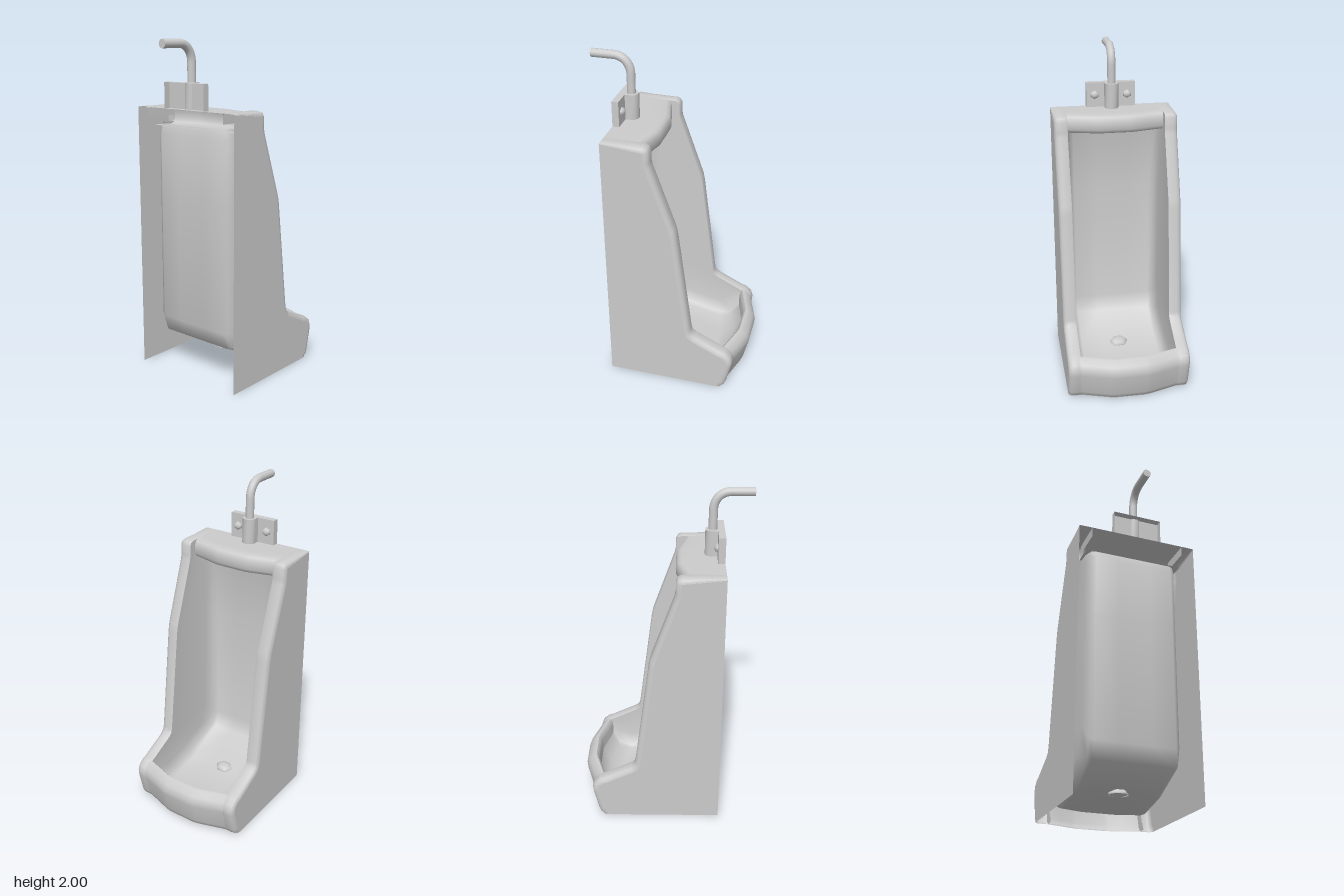
import * as THREE from 'three';
import { toCreasedNormals } from 'three/addons/utils/BufferGeometryUtils.js';

const material = new THREE.MeshStandardMaterial({ color: 0xcccccc, side: THREE.DoubleSide });

function add(parent, name, geometry, x = 0, y = 0, z = 0) {
  const mesh = new THREE.Mesh(geometry, material);
  mesh.name = name;
  mesh.position.set(x, y, z);
  parent.add(mesh);
  return mesh;
}

// Skin a grid of cross-sections, each a list of [x, y, z]
function loft(rows, crease = 0.9) {
  const n = rows[0].length, index = [];
  for (let i = 0; i < rows.length - 1; i++)
    for (let j = 0; j < n - 1; j++) {
      const a = i * n + j, b = a + n;
      index.push(a, b, a + 1, a + 1, b, b + 1);
    }
  const g = new THREE.BufferGeometry();
  g.setAttribute('position', new THREE.Float32BufferAttribute(rows.flat(2), 3));
  g.setIndex(index);
  g.computeVertexNormals();
  return toCreasedNormals(g, crease);
}

// Front outline of each side, from the top back corner down to the foot
const outline = [
  [-0.34, 1.61], [-0.1, 1.61], [-0.078, 1.602], [-0.067, 1.58], [-0.066, 1.52], [-0.06, 1.49],
  [0.075, 1.11], [0.085, 1.06], [0.17, 0.4], [0.178, 0.372], [0.2, 0.355], [0.36, 0.277],
  [0.39, 0.268], [0.425, 0.238], [0.438, 0.2], [0.435, 0.17], [0.405, 0.04], [0.395, 0.015],
  [0.38, 0.003], [0.38, 0],
];

// Outline moved inwards by d
function inset(i, d) {
  const a = outline[Math.max(i - 1, 0)], b = outline[Math.min(i + 1, outline.length - 1)];
  const tx = b[0] - a[0], ty = b[1] - a[1], l = Math.hypot(tx, ty);
  const [x, y] = outline[i];
  return [Math.max(x + (ty / l) * d, -0.34), Math.max(y - (tx / l) * d, 0)];
}

// Side rim section, [inset, z]; its outer rounding sharpens towards the top back corner
const rimSection = [[0.03, 0.37], [0.015, 0.367], [0.004, 0.357], [0, 0.34], [0, 0.3], [0.004, 0.291], [0.06, 0.29]];
const rimPoint = (i, [d, z]) => [...inset(i, i === 0 && z > 0.3 ? d * 0.1 : d), z];

// Share of the forward bow of hood and lip: 1 in the middle, 0 at the sides
const bow = (z) => THREE.MathUtils.clamp((0.292 - Math.abs(z)) / 0.19, 0, 1);
const across = [-0.302, -0.29, -0.2, -0.12, -0.09, 0, 0.09, 0.12, 0.2, 0.29, 0.302];

// Basin stations: rim, wall and floor points as [x, y]
const basinStations = [
  [[-0.1, 1.51], [-0.2, 1.51], [-0.26, 1.51]],
  [[-0.08, 1.44], [-0.2, 1.44], [-0.28, 1.45]],
  [[0.05, 1.09], [-0.2, 1.09], [-0.28, 1.09]],
  [[0.14, 0.4], [-0.19, 0.42], [-0.28, 0.32]],
  [[0.17, 0.34], [-0.14, 0.27], [-0.25, 0.22]],
  [[0.25, 0.3], [0.05, 0.2], [0, 0.11]],
  [[0.31, 0.265], [0.22, 0.16], [0.22, 0.065]],
  [[0.345, 0.25], [0.31, 0.18], [0.3, 0.085]],
  [[0.365, 0.25], [0.358, 0.2], [0.35, 0.17]],
];

export function createModel() {
  const model = new THREE.Group();
  model.name = 'urinal';

  // Side panels with rounded rims
  for (const s of [1, -1]) {
    const side = new THREE.Group();
    side.name = s > 0 ? 'leftSide' : 'rightSide';
    const rim = outline.map((p, i) => rimSection.map((r) => rimPoint(i, r)));
    const panel = new THREE.Shape([...rim.map(([[x, y]]) => new THREE.Vector2(x, y)), new THREE.Vector2(-0.34, 0)]);
    add(side, 'sidePanel', new THREE.ShapeGeometry(panel), 0, 0, s * 0.37);
    add(side, 'sideRim', loft(rim.map((row) => row.map(([x, y, z]) => [x, y, s * z]))));
    model.add(side);
  }

  // Bowed hood
  const hood = [[-0.14, 1.608], [-0.1, 1.606], [-0.08, 1.598], [-0.068, 1.575], [-0.068, 1.525],
    [-0.078, 1.505], [-0.1, 1.498], [-0.2, 1.5]];
  add(model, 'hood', loft(across.map((z) => [[-0.34, 1.61, z], [-0.25, 1.609, z],
    ...hood.map(([x, y]) => [x - 0.05 * (1 - bow(z)), y, z]), [-0.275, 1.5, z]])));

  // Bowed front lip, its inner face running down into the basin
  const lip = [[0.35, 0.16], [0.357, 0.225], [0.362, 0.255], [0.375, 0.27], ...outline.slice(12)];
  add(model, 'frontLip', loft(across.map((z) => lip.map(([x, y]) => [x + 0.06 * bow(z), y, z]))));

  // Basin: back wall, chamfered sides and a floor that follows the bow of the lip
  add(model, 'basin', loft(basinStations.map(([r, w, f], i) => {
    const floor = (z) => [f[0] + (i > 5 ? 0.06 * bow(z) : 0), f[1], z];
    const half = [[...r, 0.29], [...w, 0.285], [f[0] + 0.015, f[1] + 0.01, 0.265], floor(0.24), floor(0.1)];
    return [...half, ...half.map(([x, y, z]) => [x, y, -z]).reverse()];
  }), 1.1));

  // Drain dome
  const dome = new THREE.SphereGeometry(1, 6, 5, 0, Math.PI * 2, 0, Math.PI / 2);
  const drain = add(model, 'drain', dome, -0.015, 0.105, 0);
  drain.scale.set(0.062, 0.035, 0.053);
  drain.rotation.y = Math.PI / 2;

  // Pipe bracket with an open back, sleeve and bolts
  const bracket = new THREE.BoxGeometry(0.04, 0.15, 0.3);
  bracket.setIndex([...bracket.index.array].filter((v, i) => i < 6 || i >= 12));
  add(model, 'bracketPlate', bracket, -0.32, 1.685, 0);
  add(model, 'pipeSleeve', toCreasedNormals(new THREE.CylinderGeometry(0.042, 0.042, 0.15, 10), 0.9), -0.27, 1.685, 0);
  add(model, 'sleeveBase', new THREE.BoxGeometry(0.03, 0.15, 0.08), -0.285, 1.685, 0);
  for (const z of [0.1, -0.1]) {
    const bolt = add(model, 'bolt', dome, -0.3, 1.685, z);
    bolt.rotation.z = -Math.PI / 2;
    bolt.scale.set(0.026, 0.022, 0.029);
  }

  // Bent supply pipe
  const path = new THREE.CurvePath();
  const v = (x, y) => new THREE.Vector3(x, y, 0);
  path.add(new THREE.LineCurve3(v(-0.272, 1.68), v(-0.272, 1.87)));
  path.add(new THREE.CubicBezierCurve3(v(-0.272, 1.87), v(-0.272, 1.93), v(-0.31, 1.975), v(-0.37, 1.975)));
  path.add(new THREE.LineCurve3(v(-0.37, 1.975), v(-0.5, 1.975)));
  add(model, 'supplyPipe', new THREE.TubeGeometry(path, 30, 0.025, 12));
  const cap = add(model, 'pipeEnd', new THREE.CircleGeometry(0.025, 12), -0.5, 1.975, 0);
  cap.rotation.y = -Math.PI / 2;

  return model;
}
